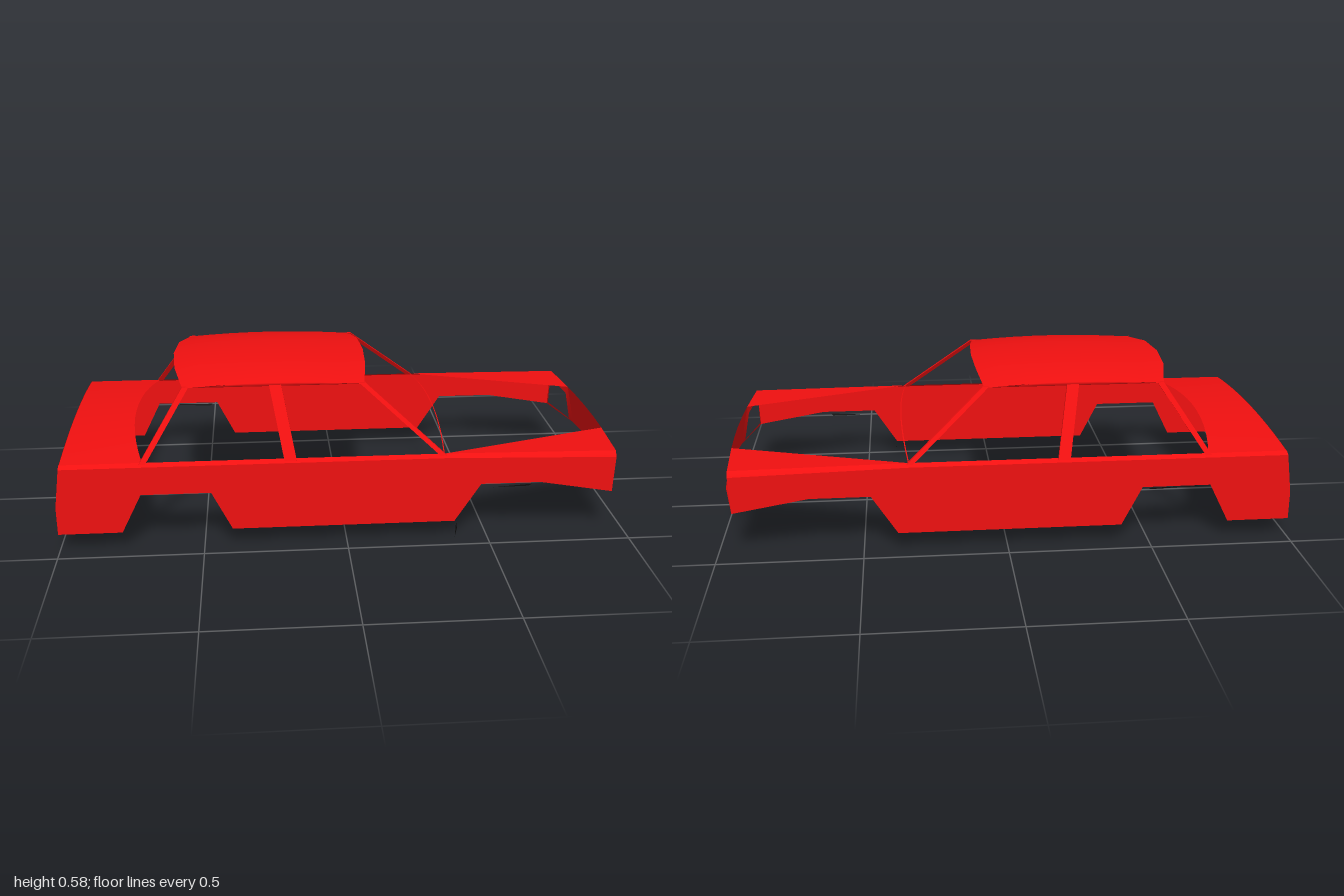
import * as THREE from 'three';

const paint = new THREE.MeshStandardMaterial({ color: 0xf01010, side: THREE.DoubleSide });
const rubber = new THREE.MeshStandardMaterial({ color: 0x151515, side: THREE.DoubleSide });

// Smooth sheet through rows of [x, y, z] points
function sheet(name, rows, material = paint) {
  const n = rows[0].length, index = [];
  for (let i = 0; i < rows.length - 1; i++) {
    for (let j = 0; j < n - 1; j++) {
      const a = i * n + j, b = a + n;
      index.push(a, b, a + 1, b, b + 1, a + 1);
    }
  }
  const geo = new THREE.BufferGeometry();
  geo.setAttribute('position', new THREE.Float32BufferAttribute(rows.flat(2), 3));
  geo.setIndex(index);
  geo.computeVertexNormals();
  const mesh = new THREE.Mesh(geo, material);
  mesh.name = name;
  return mesh;
}

// Slanted post from base to top, with a rectangular section
function pillar(name, base, top, wx, wz) {
  const geo = new THREE.BoxGeometry(wx, 1, wz);
  const p = geo.attributes.position;
  for (let i = 0; i < p.count; i++) {
    const t = p.getY(i) + 0.5;
    p.setXYZ(i,
      p.getX(i) + THREE.MathUtils.lerp(base[0], top[0], t),
      THREE.MathUtils.lerp(base[1], top[1], t),
      p.getZ(i) + THREE.MathUtils.lerp(base[2], top[2], t));
  }
  geo.computeVertexNormals();
  const mesh = new THREE.Mesh(geo, paint);
  mesh.name = name;
  return mesh;
}

function bodySide(name) {
  const side = new THREE.Group();
  side.name = name;

  // Flat flank with both wheel arches cut out
  const outline = [
    [-1, 0.07], [-0.78, 0.07], [-0.71, 0.21], [-0.47, 0.21], [-0.4, 0.07], [0.38, 0.07],
    [0.47, 0.21], [0.68, 0.21], [0.94, 0.165], [0.945, 0.297], [0.34, 0.312], [-0.98, 0.312], [-1, 0.17],
  ].map(([x, y]) => new THREE.Vector2(x, y));
  const flank = new THREE.Mesh(new THREE.ShapeGeometry(new THREE.Shape(outline)), paint);
  flank.name = 'flank';
  flank.position.z = 0.45;
  side.add(flank);

  // Narrow shoulder along the waistline
  side.add(sheet('shoulder', [
    [[-0.98, 0.322, 0.432], [0.34, 0.322, 0.432], [0.945, 0.316, 0.436]],
    [[-0.98, 0.312, 0.45], [0.34, 0.312, 0.45], [0.945, 0.297, 0.45]],
  ]));

  // Triangular fender top beside the open engine bay
  side.add(sheet('fenderTop', [
    [[0.34, 0.322, 0.432], [0.958, 0.318, 0.225]],
    [[0.34, 0.322, 0.432], [0.945, 0.316, 0.436]],
  ]));

  // Headlight surround: outer loop joined to inner loop
  const outer = [[0.94, 0.165, 0.45], [0.99, 0.165, 0.222], [0.958, 0.318, 0.225], [0.945, 0.297, 0.45]];
  const inner = [[0.941, 0.175, 0.436], [0.978, 0.175, 0.24], [0.955, 0.288, 0.24], [0.942, 0.287, 0.432]];
  side.add(sheet('headlightSurround', [[...outer, outer[0]], [...inner, inner[0]]]));
  side.add(sheet('headlightBrow', [
    [outer[2], outer[3]],
    [[0.945, 0.316, 0.436], [0.945, 0.316, 0.436]],
  ]));

  // Roof posts
  side.add(pillar('windscreenPillar', [0.335, 0.318, 0.435], [0.065, 0.545, 0.302], 0.022, 0.014));
  side.add(pillar('doorPillar', [-0.195, 0.318, 0.438], [-0.24, 0.545, 0.302], 0.042, 0.01));
  side.add(pillar('rearPillar', [-0.7, 0.318, 0.435], [-0.55, 0.545, 0.302], 0.022, 0.014));
  return side;
}

export function createModel() {
  const car = new THREE.Group();
  car.name = 'carBody';

  car.add(bodySide('leftSide'));
  const mirrored = bodySide('rightSide');
  mirrored.scale.z = -1;
  car.add(mirrored);

  // Roof: crowned both ways, with turned-down side edges
  const roofSection = [[0.3, 0.54], [0.31, 0.555], [0.155, 0.58], [0, 0.585]];
  const fullRoof = [
    ...roofSection.map(([z, y]) => [-z, y]),
    ...roofSection.slice(0, 3).reverse(),
  ];
  const roofRows = fullRoof.map(([z, y]) => {
    const k = Math.abs(z) / 0.31;
    const rear = -0.605 + 0.045 * k * k, front = 0.095 - 0.025 * k * k;
    return Array.from({ length: 9 }, (_, i) => {
      const t = i / 8, u = 2 * t - 1;
      const drop = y < 0.55 ? 0 : 0.013 * u * u;
      return [rear + (front - rear) * t, y - drop, z];
    });
  });
  car.add(sheet('roof', roofRows));

  // Boot lid and tail panel share the same arch across the car
  const arch = (z) => 0.322 + 0.03 * (1 - Math.pow(Math.abs(z) / 0.432, 2));
  const across = Array.from({ length: 13 }, (_, i) => -0.432 + 0.072 * i);
  car.add(sheet('bootLid', across.map((z) => {
    const front = -0.755 + 0.055 * Math.pow(z / 0.432, 2);
    return [-0.978, (-0.978 + front) / 2, front].map((x, i) => [x, arch(z) - 0.003 * (2 - i) * (arch(z) - 0.322) / 0.03, z]);
  })));
  const tail = [
    [-0.45, 0.145, 0.312],
    ...across.map((z) => [z, Math.abs(z) > 0.4 ? 0.155 : 0.166, arch(z) - 0.2 * (arch(z) - 0.322)]),
    [0.45, 0.145, 0.312],
  ];
  car.add(sheet('tailPanel', tail.map(([z, low, high]) => [[-1, low, z], [-0.979, high, z]])));

  // Sloping nose panel between the headlights
  car.add(sheet('nosePanel', [-0.225, -0.11, 0, 0.11, 0.225].map((z) => {
    const bow = 0.01 * (1 - Math.pow(z / 0.225, 2));
    return [[0.958 + bow * 0.6, 0.318, z], [0.99 + bow, 0.165, z]];
  })));

  // Fine bowed lip below the windscreen
  car.add(sheet('cowlLip', across.map((z) => {
    const x = 0.36 - 0.022 * Math.pow(z / 0.432, 2);
    return [[x - 0.002, arch(z), z], [x + 0.002, arch(z) - 0.001, z]];
  })));

  // Small mud flap and the slivers of arch lining
  const flake = (name, a, b, c) => car.add(sheet(name, [[a, b], [c, c]], rubber));
  flake('mudFlap', [0.385, 0.055, 0.476], [0.385, 0.07, 0.455], [0.385, 0.003, 0.443]);
  flake('frontArchLining', [0.51, 0.194, 0.447], [0.65, 0.203, 0.447], [0.64, 0.194, 0.443]);
  flake('rearArchLining', [-0.68, 0.207, -0.447], [-0.49, 0.205, -0.447], [-0.5, 0.198, -0.443]);

  return car;
}
